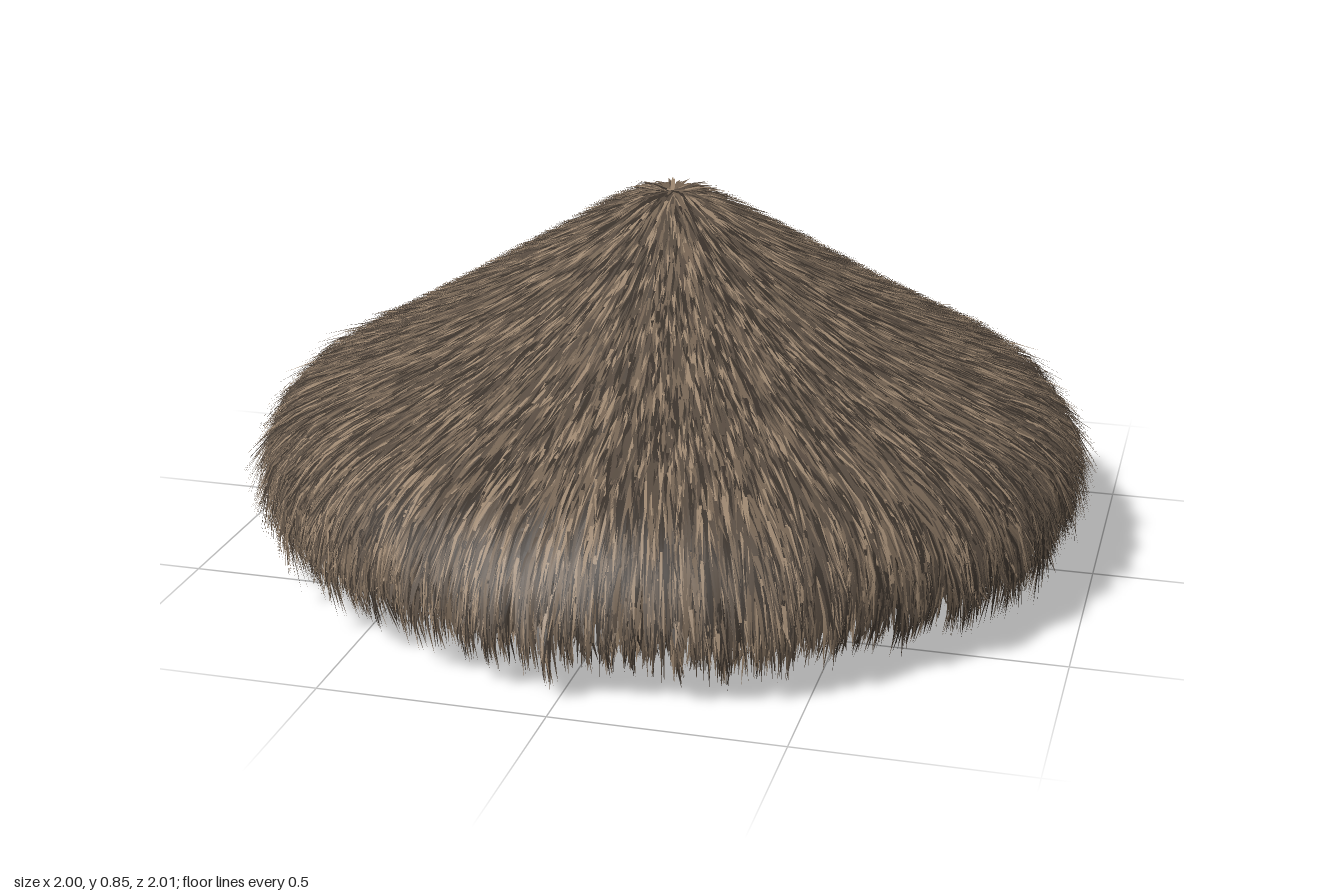
import * as THREE from 'three';

// Roof section from the peak, down the straight slope and round the drooping eave
const profile = new THREE.CatmullRomCurve3([
  [0, 0.842], [0.07, 0.832], [0.3, 0.698], [0.55, 0.546], [0.83, 0.378],
  [0.895, 0.31], [0.922, 0.23], [0.9, 0.14], [0.85, 0.06],
].map(([r, y]) => new THREE.Vector3(r, y, 0)), false, 'centripetal');
const STEPS = 400;
const section = profile.getSpacedPoints(STEPS);
const UNDERSIDE = 0.17;

function randomSource(seed) {
  return () => {
    seed = (seed * 1664525 + 1013904223) >>> 0;
    return seed / 4294967296;
  };
}

// Repeatable value from 0 to 1 for a tuft number
function tuftValue(n) {
  const v = Math.sin(n * 12.9898) * 43758.5453;
  return v - Math.floor(v);
}

// Radius and height at a fraction s of the section, pushed off the surface by lift
function sectionPoint(s, lift) {
  const i = Math.min(STEPS - 1, Math.max(1, Math.round(s * STEPS)));
  const a = section[i - 1], b = section[i + 1];
  const dr = b.x - a.x, dy = b.y - a.y, len = Math.hypot(dr, dy);
  return [Math.max(0.002, section[i].x - dy / len * lift), section[i].y + dr / len * lift];
}

// Collects tapered blades; spine is root, middle and tip, yaw turns the width
function bladeBuilder() {
  const positions = [], indices = [];
  return {
    add(spine, yaw, width) {
      const base = positions.length / 3;
      spine.forEach(([x, y, z], i) => {
        const w = width * [1, 0.8, 0][i];
        const wx = Math.cos(yaw) * w, wz = -Math.sin(yaw) * w;
        positions.push(x - wx, y, z - wz);
        if (i < 2) positions.push(x + wx, y, z + wz);
      });
      indices.push(base, base + 2, base + 1, base + 1, base + 2, base + 3, base + 2, base + 4, base + 3);
    },
    build() {
      const geometry = new THREE.BufferGeometry();
      geometry.setAttribute('position', new THREE.Float32BufferAttribute(positions, 3));
      geometry.setIndex(indices);
      geometry.computeVertexNormals();
      return geometry;
    },
  };
}

// Straw following the slope, gathered into ragged tufts at the eave
function slopeStraw(count, seed) {
  const rand = randomSource(seed), blades = bladeBuilder();
  const tuftSize = 2 * Math.PI / 130;
  for (let n = 0; n < count;) {
    const s = rand() * 0.88;
    if (rand() > section[Math.round(s * STEPS)].x + 0.06) continue;
    n++;

    const angle = rand() * 2 * Math.PI;
    const tuft = Math.floor(angle / tuftSize);
    const ragged = tuftValue(tuft + Math.floor(s * 12) * 131);
    const nearEave = THREE.MathUtils.smoothstep(s, 0.56, 0.72);
    const tuftAngle = (tuft + 0.2 + 0.6 * ragged) * tuftSize;
    const tipAngle = angle + (tuftAngle - angle) * (0.1 + 0.7 * nearEave) + (rand() - 0.5) * 0.035;
    const end = Math.min(0.9 + rand() * 0.1, s + 0.05 + rand() * 0.06 + nearEave * (0.03 + 0.06 * rand()));
    const waves = 0.5 + 0.25 * (Math.sin(5 * angle + 1) + Math.sin(11 * angle + 2.4));
    const lift = 0.014 + rand() * 0.014
      + nearEave * (waves * 0.015 + ragged * ragged * 0.04 + rand() * 0.015);
    const spine = [[0, 0.002], [0.5, 0.5], [1, 1]].map(([t, k]) => {
      const [r, y] = sectionPoint(s + (end - s) * t, lift * k);
      const a = angle + (tipAngle - angle) * t;
      return [r * Math.sin(a), y, r * Math.cos(a)];
    });
    blades.add(spine, angle, 0.0035 + rand() * 0.003);
  }
  return blades.build();
}

// Straw hanging down from the flat underside, leaning slightly outward
function hangingStraw(count, seed) {
  const rand = randomSource(seed), blades = bladeBuilder();
  for (let n = 0; n < count; n++) {
    const r = 0.86 * Math.sqrt(rand()), angle = rand() * 2 * Math.PI;
    const x = r * Math.sin(angle), z = r * Math.cos(angle);
    const drop = 0.08 + rand() * 0.07 - 0.03 * r * r;
    const swayX = (rand() - 0.5) * 0.05, swayZ = (rand() - 0.5) * 0.05;
    const spine = [0, 0.5, 1].map((t) => [x + swayX * t * t, UNDERSIDE - drop * t, z + swayZ * t * t]);
    blades.add(spine, angle + (rand() - 0.5) * 2, 0.004 + rand() * 0.003);
  }
  // A few long wisps reach the ground line
  for (let n = 0; n < count / 40; n++) {
    const r = 0.6 + 0.24 * rand(), angle = rand() * 2 * Math.PI;
    const x = r * Math.sin(angle), z = r * Math.cos(angle);
    const tip = rand() * 0.04;
    blades.add([[x, UNDERSIDE, z], [x, 0.1, z], [x, tip, z]], angle, 0.003);
  }
  return blades.build();
}

function strawMaterial(color) {
  const material = new THREE.MeshStandardMaterial({ color });
  material.side = THREE.DoubleSide;
  return material;
}

export function createModel() {
  const roof = new THREE.Group();
  roof.name = 'thatchedRoof';

  // Closed body beneath the straw, with a flat underside
  const bodyPoints = [new THREE.Vector2(0, UNDERSIDE), new THREE.Vector2(0.86, UNDERSIDE)];
  for (let i = 18; i >= 0; i--) {
    const p = section[Math.round(i / 18 * 0.84 * STEPS)];
    bodyPoints.push(new THREE.Vector2(p.x, p.y));
  }
  const body = new THREE.Mesh(new THREE.LatheGeometry(bodyPoints, 72), strawMaterial(0x4a3f35));
  body.name = 'roofBody';
  roof.add(body);

  // Straw in several browns, on the slope and underneath
  [[0x3a322b, 8000], [0x574b40, 10000], [0x756453, 8000], [0x9c866f, 4000]].forEach(([color, count], i) => {
    const material = strawMaterial(color);
    const slope = new THREE.Mesh(slopeStraw(count, 11 + i * 977), material);
    slope.name = 'slopeStraw' + (i + 1);
    const hanging = new THREE.Mesh(hangingStraw(Math.round(count * 0.45), 501 + i * 613), material);
    hanging.name = 'hangingStraw' + (i + 1);
    roof.add(slope, hanging);
  });
  return roof;
}
